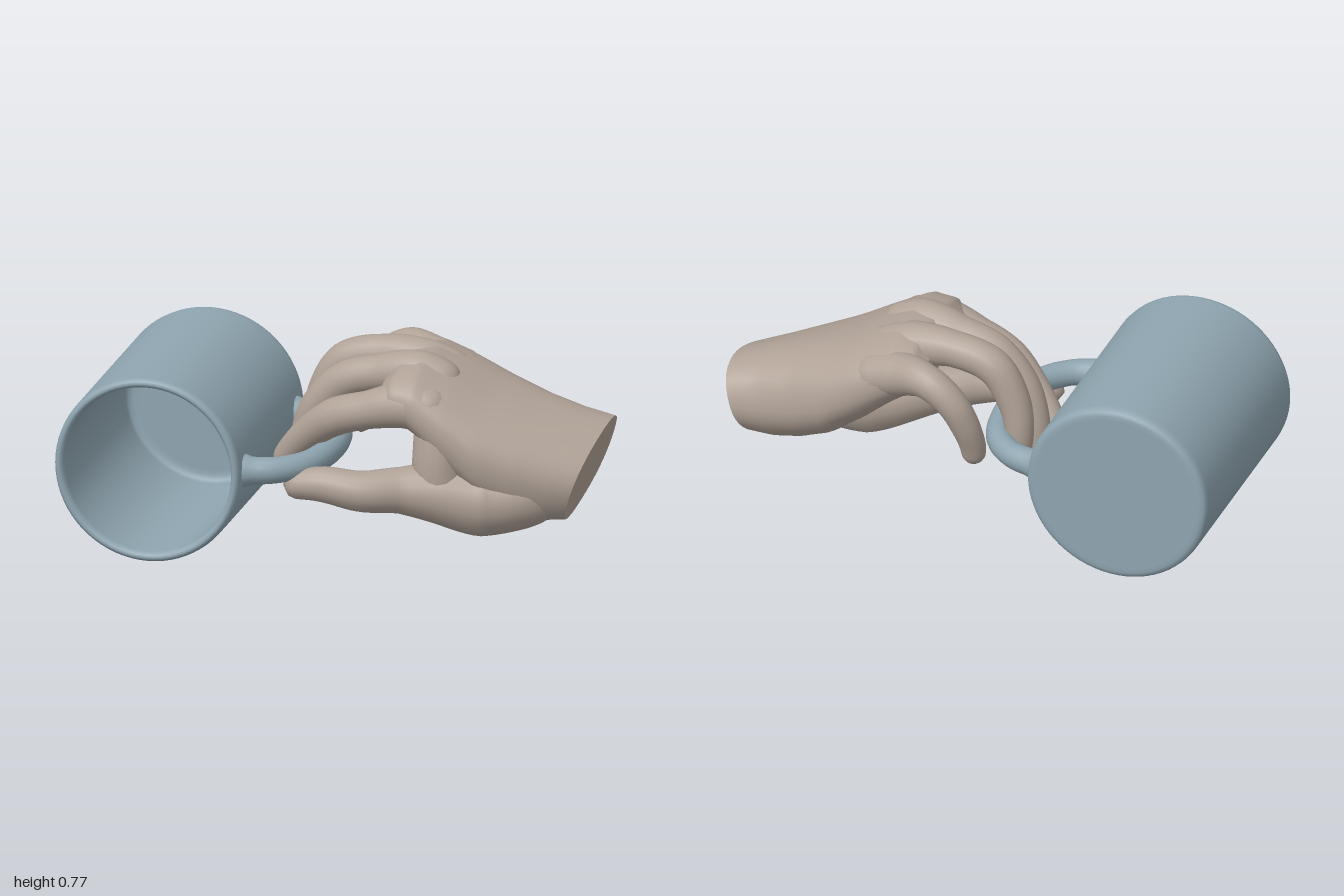
import * as THREE from 'three';
import { mergeVertices } from 'three/addons/utils/BufferGeometryUtils.js';

const mugMat = new THREE.MeshStandardMaterial({ color: 0x8fa5b0 });
const handMat = new THREE.MeshStandardMaterial({ color: 0xb0a297 });

function mesh(name, geometry, material) {
  const m = new THREE.Mesh(geometry, material);
  m.name = name;
  return m;
}

// Linear interpolation in an evenly spaced list
function sample(list, t) {
  const f = Math.min(Math.max(t, 0), 1) * (list.length - 1);
  const i = Math.min(Math.floor(f), list.length - 2);
  return THREE.MathUtils.lerp(list[i], list[i + 1], f - i);
}

// Smooth tapered tube; each node is [x, y, z, radius]; ends can be rounded
function limb(nodes, rounded = true, segments = 48, sides = 18) {
  const curve = new THREE.CatmullRomCurve3(nodes.map(n => new THREE.Vector3(n[0], n[1], n[2])));
  const radii = nodes.map(n => n[3]);
  const length = curve.getLength();
  const geo = new THREE.TubeGeometry(curve, segments, 1, sides);
  const pos = geo.attributes.position;
  const v = new THREE.Vector3();
  for (let i = 0; i <= segments; i++) {
    const u = i / segments;
    const centre = curve.getPointAt(u);
    let r = sample(radii, curve.getUtoTmapping(u));
    if (rounded) {
      const k = Math.min(1, Math.min(u, 1 - u) * length / r);
      r *= Math.sqrt(Math.max(0, 1 - (1 - k) ** 2));
    }
    for (let j = 0; j <= sides; j++) {
      const id = i * (sides + 1) + j;
      v.fromBufferAttribute(pos, id).sub(centre).multiplyScalar(r).add(centre);
      pos.setXYZ(id, v.x, v.y, v.z);
    }
  }
  geo.deleteAttribute('uv');
  geo.deleteAttribute('normal');
  const smooth = mergeVertices(geo, 1e-5);
  smooth.computeVertexNormals();
  return smooth;
}

// Palm: rounded cross-sections from the wrist to the knuckles
function palmGeometry() {
  // x, centre y, centre z, half height, half width, roll, slant
  const sections = [
    [0.94, 0.335, -0.13, 0.155, 0.25, 0.3, 0.34],
    [0.84, 0.35, -0.11, 0.18, 0.265, 0.27, 0.2],
    [0.72, 0.385, -0.095, 0.195, 0.29, 0.2, 0.1],
    [0.58, 0.445, -0.09, 0.2, 0.32, 0.13, 0],
    [0.45, 0.53, -0.09, 0.18, 0.325, 0.06, 0],
    [0.33, 0.61, -0.09, 0.15, 0.32, 0, 0],
    [0.24, 0.635, -0.09, 0.11, 0.3, 0, 0],
    [0.19, 0.64, -0.09, 0.05, 0.24, 0, 0]
  ];
  const rings = 36, sides = 36, verts = [], index = [];
  const point = (s, j) => {
    const a = j / sides * Math.PI * 2;
    const soft = c => Math.sign(c) * Math.abs(c) ** 0.85;
    const w = soft(Math.cos(a)) * s[4], h = soft(Math.sin(a)) * s[3];
    const dy = h * Math.cos(s[5]) - w * Math.sin(s[5]);
    verts.push(s[0] + s[6] * dy, s[1] + dy, s[2] + w * Math.cos(s[5]) + h * Math.sin(s[5]));
  };
  for (let i = 0; i <= rings; i++) {
    const s = sections[0].map((_, k) => sample(sections.map(r => r[k]), i / rings));
    for (let j = 0; j < sides; j++) point(s, j);
  }
  for (let i = 0; i < rings; i++) {
    for (let j = 0; j < sides; j++) {
      const a = i * sides + j, b = i * sides + (j + 1) % sides;
      index.push(a, b, a + sides, b, b + sides, a + sides);
    }
  }
  // Flat cut at the wrist, closed knuckle end
  for (const [s, flip] of [[sections[0], true], [sections.at(-1), false]]) {
    const start = verts.length / 3;
    for (let j = 0; j < sides; j++) point(s, j);
    verts.push(s[0], s[1], s[2]);
    for (let j = 0; j < sides; j++) {
      const a = start + j, b = start + (j + 1) % sides;
      index.push(start + sides, flip ? b : a, flip ? a : b);
    }
  }
  const geo = new THREE.BufferGeometry();
  geo.setAttribute('position', new THREE.Float32BufferAttribute(verts, 3));
  geo.setIndex(index);
  geo.computeVertexNormals();
  return geo;
}

export function createModel() {
  const model = new THREE.Group();

  // Mug lying along z with its opening to the front
  const mug = new THREE.Group();
  mug.name = 'mug';
  const profile = [
    [0, -0.465], [0.32, -0.465], [0.338, -0.465], [0.352, -0.46], [0.36, -0.45], [0.363, -0.435],
    [0.363, -0.42], [0.363, 0.435], [0.361, 0.45], [0.354, 0.461], [0.345, 0.465],
    [0.336, 0.461], [0.329, 0.45], [0.326, 0.435], [0.326, -0.4], [0.318, -0.418],
    [0.3, -0.425], [0.28, -0.425], [0, -0.425]
  ].map(p => new THREE.Vector2(...p));
  const body = mesh('mugBody', new THREE.LatheGeometry(profile, 72), mugMat);
  body.rotation.x = Math.PI / 2;
  body.position.set(-0.637, 0.367, 0);
  mug.add(body);

  // Looped handle, flared where it meets the body
  const half = [[-0.31, 0.36, 0.075], [-0.25, 0.355, 0.053], [-0.16, 0.32, 0.05], [-0.075, 0.22, 0.05]];
  const handle = [
    ...half.map(([x, z, r]) => [x, 0.37, -z, r]),
    [-0.035, 0.37, 0, 0.05],
    ...half.map(([x, z, r]) => [x, 0.37, z, r]).reverse()
  ];
  mug.add(mesh('mugHandle', limb(handle, false, 64), mugMat));
  model.add(mug);

  // Hand gripping the handle
  const hand = new THREE.Group();
  hand.name = 'hand';
  hand.add(mesh('palm', palmGeometry(), handMat));
  const digits = {
    indexFinger: [
      [0.46, 0.58, 0.12, 0.09], [0.3, 0.61, 0.135, 0.092], [0.14, 0.575, 0.13, 0.073],
      [0, 0.525, 0.1, 0.073], [-0.12, 0.43, 0.05, 0.062], [-0.2, 0.34, 0.01, 0.054], [-0.245, 0.275, -0.01, 0.045]
    ],
    middleFinger: [
      [0.46, 0.62, -0.02, 0.09], [0.3, 0.685, -0.02, 0.092], [0.14, 0.67, -0.035, 0.072],
      [0, 0.625, -0.045, 0.072], [-0.11, 0.51, -0.055, 0.066], [-0.165, 0.37, -0.07, 0.056], [-0.175, 0.235, -0.08, 0.046]
    ],
    ringFinger: [
      [0.46, 0.61, -0.18, 0.09], [0.29, 0.68, -0.18, 0.09], [0.12, 0.7, -0.19, 0.07],
      [-0.04, 0.655, -0.19, 0.07], [-0.12, 0.53, -0.19, 0.064], [-0.15, 0.4, -0.2, 0.055], [-0.14, 0.27, -0.2, 0.046]
    ],
    littleFinger: [
      [0.46, 0.58, -0.31, 0.09], [0.28, 0.64, -0.34, 0.085], [0.15, 0.665, -0.4, 0.066],
      [0.05, 0.6, -0.41, 0.06], [0, 0.5, -0.39, 0.056], [-0.02, 0.4, -0.36, 0.05], [-0.02, 0.32, -0.34, 0.044]
    ],
    thumb: [
      [0.86, 0.29, -0.03, 0.1], [0.72, 0.265, 0.05, 0.13], [0.57, 0.25, 0.09, 0.145], [0.42, 0.275, 0.14, 0.12],
      [0.28, 0.29, 0.2, 0.088], [0.15, 0.295, 0.265, 0.078], [0, 0.315, 0.28, 0.068], [-0.15, 0.3, 0.285, 0.05]
    ]
  };
  for (const [name, nodes] of Object.entries(digits)) hand.add(mesh(name, limb(nodes), handMat));

  // Webbing between thumb and index finger
  hand.add(mesh('thumbWeb', limb([
    [0.42, 0.58, 0.1, 0.1], [0.42, 0.46, 0.13, 0.1], [0.42, 0.36, 0.14, 0.1], [0.44, 0.24, 0.13, 0.1]
  ]), handMat));
  model.add(hand);
  return model;
}
